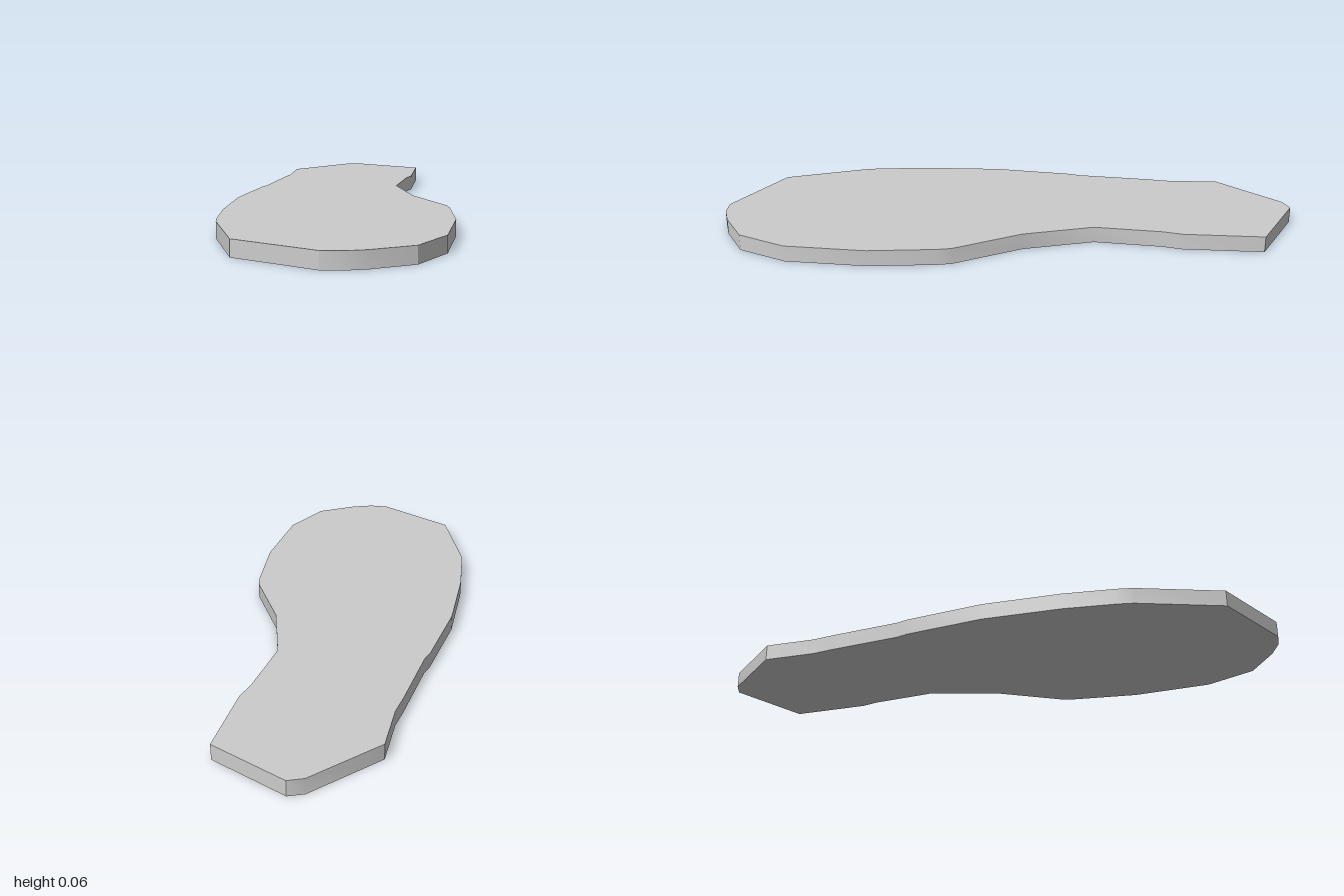
import * as THREE from 'three';
import { toCreasedNormals } from 'three/addons/utils/BufferGeometryUtils.js';

const THICKNESS = 0.056;

// Sole outline as [x, z], from the heel down the left side, round the toe and back
const OUTLINE = [
  [0.14, -0.99], [0.195, -1], [0.43, -0.82], [0.365, -0.55], [0.335, -0.49],
  [0.26, -0.265], [0.28, -0.01], [0.36, 0.24], [0.36, 0.29], [0.335, 0.52],
  [0.255, 0.79], [0.14, 0.94], [-0.005, 0.99], [-0.08, 1], [-0.145, 0.99],
  [-0.39, 0.79], [-0.432, 0.485], [-0.43, 0.43], [-0.41, 0.25], [-0.355, -0.02],
  [-0.26, -0.285], [-0.24, -0.32], [-0.16, -0.56], [-0.13, -0.64], [-0.092, -0.82],
];

export function createModel() {
  const group = new THREE.Group();
  group.name = 'shoeSole';

  // Flat slab: draw the outline in plan, extrude it and lay it down
  const shape = new THREE.Shape(OUTLINE.map(([x, z]) => new THREE.Vector2(x, -z)));
  const slab = new THREE.ExtrudeGeometry(shape, { depth: THICKNESS, bevelEnabled: false });
  slab.rotateX(-Math.PI / 2);

  // Soft shading round the gentle curves, crisp rims and corners
  const sole = new THREE.Mesh(
    toCreasedNormals(slab, Math.PI / 6),
    new THREE.MeshStandardMaterial({ color: 0xcccccc }),
  );
  sole.name = 'sole';
  group.add(sole);
  return group;
}
